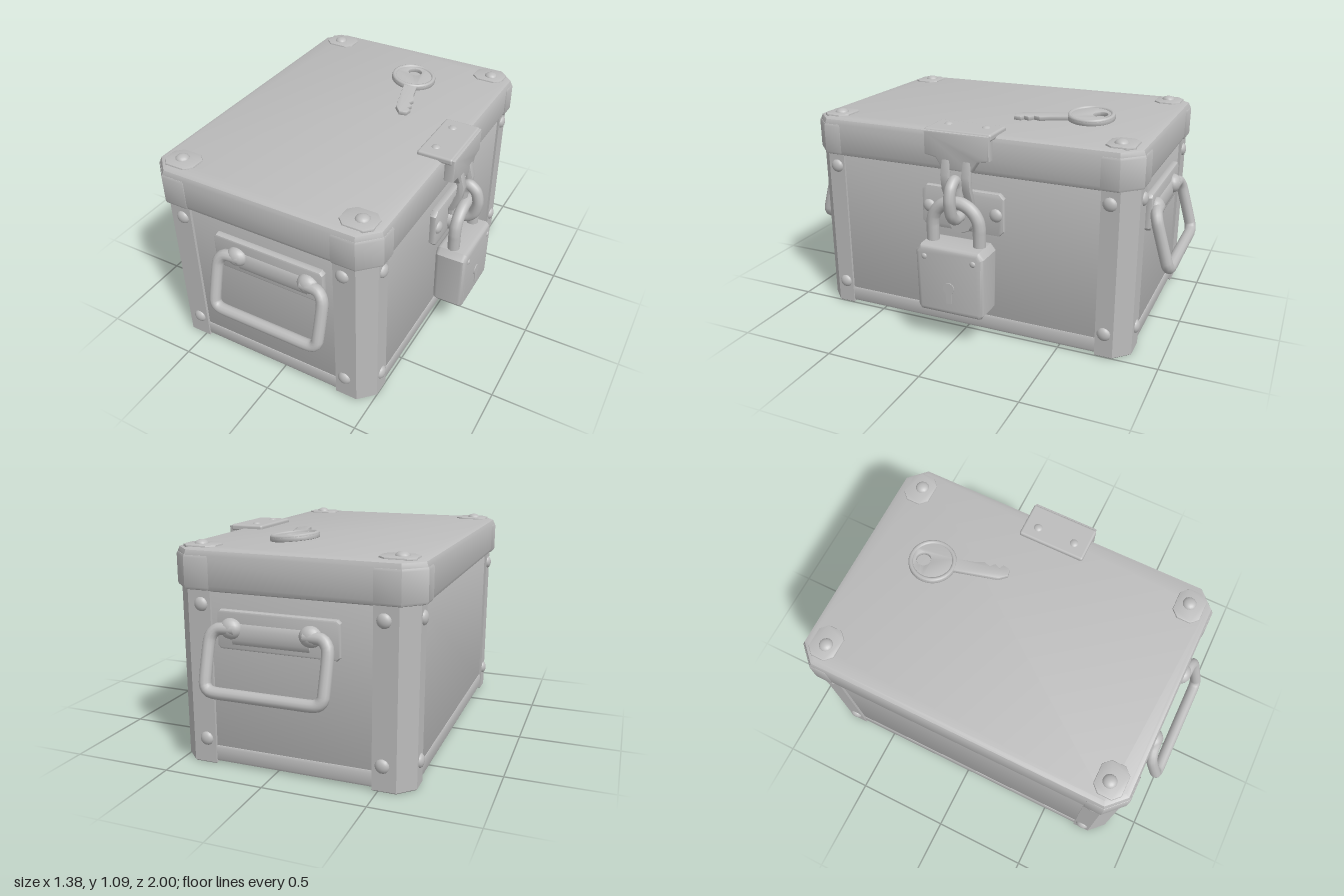
import * as THREE from 'three';
import { toCreasedNormals } from 'three/addons/utils/BufferGeometryUtils.js';
import { RoundedBoxGeometry } from 'three/addons/geometries/RoundedBoxGeometry.js';

const CX = -0.08; // centre of the chest in x

export function createModel() {
  const root = new THREE.Group();
  const metal = new THREE.MeshStandardMaterial({ color: 0xbcbcbc });
  metal.name = 'grey metal';

  function add(name, geo, x = 0, y = 0, z = 0, parent = root) {
    const m = new THREE.Mesh(geo, metal);
    m.name = name;
    m.position.set(x, y, z);
    parent.add(m);
    return m;
  }
  const shapeOf = pts => new THREE.Shape(pts.map(p => new THREE.Vector2(p[0], p[1])));

  // bevelled extrusion; b insets the outline so the outer size stays exact
  function extrude(shape, depth, b, segs = 2) {
    const g = new THREE.ExtrudeGeometry(shape, {
      depth: depth - 2 * b, bevelEnabled: b > 0, bevelThickness: b,
      bevelSize: b, bevelOffset: -b, bevelSegments: segs, curveSegments: 20 });
    g.translate(0, 0, b);
    return toCreasedNormals(g, 0.6);
  }
  // rectangle with cut corners, half sizes w and d
  const cutRect = (w, d, c) => shapeOf([[w - c, -d], [w, -d + c], [w, d - c], [w - c, d],
    [-w + c, d], [-w, d - c], [-w, -d + c], [-w + c, -d]]);
  const slab = (w, d, c, h, b) => extrude(cutRect(w, d, c), h, b).rotateX(-Math.PI / 2);
  const box = (w, h, d, r = 0.012) => new RoundedBoxGeometry(w, h, d, 2, r);
  const tube = (pts, r, closed = false) => new THREE.TubeGeometry(
    new THREE.CatmullRomCurve3(pts.map(p => new THREE.Vector3(...p)), closed, 'catmullrom', 0.4),
    80, r, 12, closed);

  // domed rivet pointing along +y
  const rivetGeo = new THREE.SphereGeometry(0.035, 14, 7, 0, Math.PI * 2, 0, Math.PI / 2).scale(1, 0.65, 1);
  function rivet(x, y, z, rx = 0, rz = 0) {
    add('rivet', rivetGeo, x, y, z).rotation.set(rx, 0, rz);
  }

  // chest body, bottom rail and lid
  add('body', slab(0.57, 0.838, 0.06, 0.86, 0.01), CX, 0.012);
  add('bottomRail', slab(0.576, 0.845, 0.07, 0.085, 0.015), CX, 0.01);
  add('lid', slab(0.603, 0.862, 0.09, 0.2, 0.03), CX - 0.002, 0.842);

  // corner posts, lid corners and rivets
  for (const sx of [-1, 1]) for (const sz of [-1, 1]) {
    const corner = (w, d, c, lx, lz, t) => shapeOf([[w - lx, d], [w - c, d], [w, d - c], [w, d - lz],
      [w - t, d - lz], [w - t, d - c - t / 2], [w - c - t / 2, d - t], [w - lx, d - t]]
      .map(p => [p[0] * sx, -p[1] * sz]));
    add('cornerPost', extrude(corner(0.582, 0.852, 0.075, 0.19, 0.165, 0.035), 0.86, 0.006, 1)
      .rotateX(-Math.PI / 2), CX, 0);
    add('cornerFoot', slab(0.085, 0.08, 0.05, 0.04, 0.012), CX + sx * 0.48, 0, sz * 0.757);
    add('lidCorner', extrude(corner(0.608, 0.867, 0.092, 0.215, 0.18, 0.05), 0.165, 0.015, 2)
      .rotateX(-Math.PI / 2), CX - 0.002, 0.85);
    add('lidCornerPlate', slab(0.085, 0.07, 0.035, 0.018, 0.006), CX + sx * 0.475, 1.032, sz * 0.75);
    rivet(CX + sx * 0.485, 1.045, sz * 0.745);
    for (const y of [0.125, 0.785]) {
      rivet(CX + sx * 0.44, y, sz * 0.848, sz * Math.PI / 2);
      rivet(CX + sx * 0.578, y, sz * 0.73, 0, -sx * Math.PI / 2);
    }
  }

  // swinging carry handles on both ends
  for (const side of [0, 1]) {
    const handle = new THREE.Group();
    handle.name = 'carryHandle';
    handle.rotation.y = side * Math.PI;
    root.add(handle);
    add('handlePlate', extrude(cutRect(0.3, 0.092, 0.015), 0.04, 0.012), -0.03 + side * 0.06, 0.68, 0.832, handle);
    add('handleRidge', new THREE.CylinderGeometry(0.045, 0.045, 0.38, 14).rotateZ(Math.PI / 2).scale(1, 1.3, 0.55),
      0, 0.665, 0.86, handle);
    const half = [[0.17, 0.69, 0.885], [0.25, 0.688, 0.89], [0.28, 0.665, 0.9], [0.29, 0.625, 0.912],
      [0.29, 0.48, 0.954], [0.285, 0.435, 0.966], [0.25, 0.412, 0.972], [0.12, 0.41, 0.972]];
    add('bail', tube([...half, ...half.slice().reverse().map(p => [-p[0], p[1], p[2]])], 0.029), 0, 0, 0, handle);
    for (const s of [-1, 1]) {
      add('handleLug', new THREE.SphereGeometry(0.052, 16, 12).scale(1.05, 0.95, 0.8), s * 0.195, 0.69, 0.873, handle);
    }
  }

  // hasp over the lid edge
  const hasp = new THREE.Group();
  hasp.name = 'hasp';
  root.add(hasp);
  add('haspTop', box(0.185, 0.035, 0.35), 0.475, 1.045, 0, hasp);
  add('haspFlange', extrude(shapeOf([[-0.17, 1.055], [-0.17, 0.935], [-0.11, 0.925], [-0.075, 0.87],
    [0.075, 0.87], [0.11, 0.925], [0.17, 0.935], [0.17, 1.055]]), 0.055, 0.01).rotateY(Math.PI / 2), 0.525, 0, 0, hasp);
  for (const y of [-0.1, 0.1]) {
    add('haspRivet', rivetGeo, 0.45, 1.055, y, hasp).scale.setScalar(0.7);
  }
  // slotted strap hanging from the flange
  const strap = shapeOf([[0.53, 0.93], [0.575, 0.94], [0.6, 0.85], [0.59, 0.78], [0.555, 0.7],
    [0.53, 0.69], [0.53, 0.71], [0.56, 0.79], [0.565, 0.85]]);
  for (const s of [-1, 1]) add('haspStrap', extrude(strap, 0.042, 0.005), 0, 0, s * 0.055 - 0.021, hasp);
  add('haspStrapEnd', box(0.03, 0.045, 0.15, 0.008), 0.54, 0.69, 0, hasp);

  // lock plate and staple ring
  add('lockPlate', extrude(cutRect(0.22, 0.108, 0.025), 0.035, 0.008).rotateY(Math.PI / 2), 0.49, 0.655, 0);
  add('stapleBoss', new THREE.CylinderGeometry(0.065, 0.075, 0.03, 8).rotateZ(-Math.PI / 2), 0.535, 0.61, 0);
  for (const z of [-0.18, 0.18]) rivet(0.52, 0.655, z, 0, -Math.PI / 2);
  add('staple', tube([[0.53, 0.635, 0], [0.6, 0.635, 0], [0.64, 0.67, 0], [0.655, 0.74, 0],
    [0.64, 0.8, 0], [0.6, 0.83, 0], [0.575, 0.8, 0], [0.565, 0.73, 0], [0.54, 0.7, 0]], 0.029));

  // padlock
  const padlock = new THREE.Group();
  padlock.name = 'padlock';
  root.add(padlock);
  add('lockBody', extrude(shapeOf([[-0.16, 0.16], [0.16, 0.16], [0.176, 0.18], [0.182, 0.48],
    [0.155, 0.513], [-0.155, 0.513], [-0.182, 0.48], [-0.176, 0.18]]), 0.17, 0.025, 3)
    .rotateY(Math.PI / 2), 0.513, 0, 0, padlock);
  const arch = [[0.593, 0.46, -0.125], [0.593, 0.57, -0.125]];
  for (let i = 0; i <= 10; i++) {
    const a = Math.PI * i / 10;
    arch.push([0.593, 0.6 + 0.12 * Math.sin(a), -0.125 * Math.cos(a)]);
  }
  arch.push([0.593, 0.57, 0.125], [0.593, 0.46, 0.125]);
  add('shackle', tube(arch, 0.032), 0, 0, 0, padlock);
  add('keyholeRound', new THREE.CylinderGeometry(0.03, 0.03, 0.008, 16).rotateZ(Math.PI / 2), 0.684, 0.305, 0, padlock);
  add('keyholeSlot', new THREE.BoxGeometry(0.008, 0.07, 0.026), 0.684, 0.26, 0, padlock);
  for (const z of [-0.13, 0.13]) {
    add('lockPin', rivetGeo, 0.68, 0.455, z, padlock).rotation.z = -Math.PI / 2;
    padlock.children.at(-1).scale.setScalar(0.45);
  }

  // key lying on the lid
  const keyShape = new THREE.Shape();
  keyShape.absarc(0, 0, 0.12, -Math.PI / 2 + 0.3, Math.PI * 1.5 - 0.3, false);
  for (const [x, y] of [[-0.035, -0.34], [-0.01, -0.385], [0.03, -0.385], [0.045, -0.35], [0.025, -0.335],
    [0.045, -0.31], [0.025, -0.285], [0.045, -0.255], [0.035, -0.2]]) keyShape.lineTo(x, y);
  keyShape.closePath();
  const hole = new THREE.Path();
  hole.absarc(0, 0.045, 0.036, 0, Math.PI * 2, true);
  keyShape.holes.push(hole);
  const key = new THREE.Group();
  key.name = 'key';
  key.position.set(0.045, 1.052, -0.49);
  key.rotation.set(0.03, 0.276, -0.1);
  root.add(key);
  add('keyBlade', extrude(keyShape, 0.024, 0.005).rotateX(-Math.PI / 2), 0, 0, 0, key);
  add('keyRim', new THREE.TorusGeometry(0.108, 0.012, 8, 32).rotateX(Math.PI / 2), 0, 0.02, 0, key);

  return root;
}
